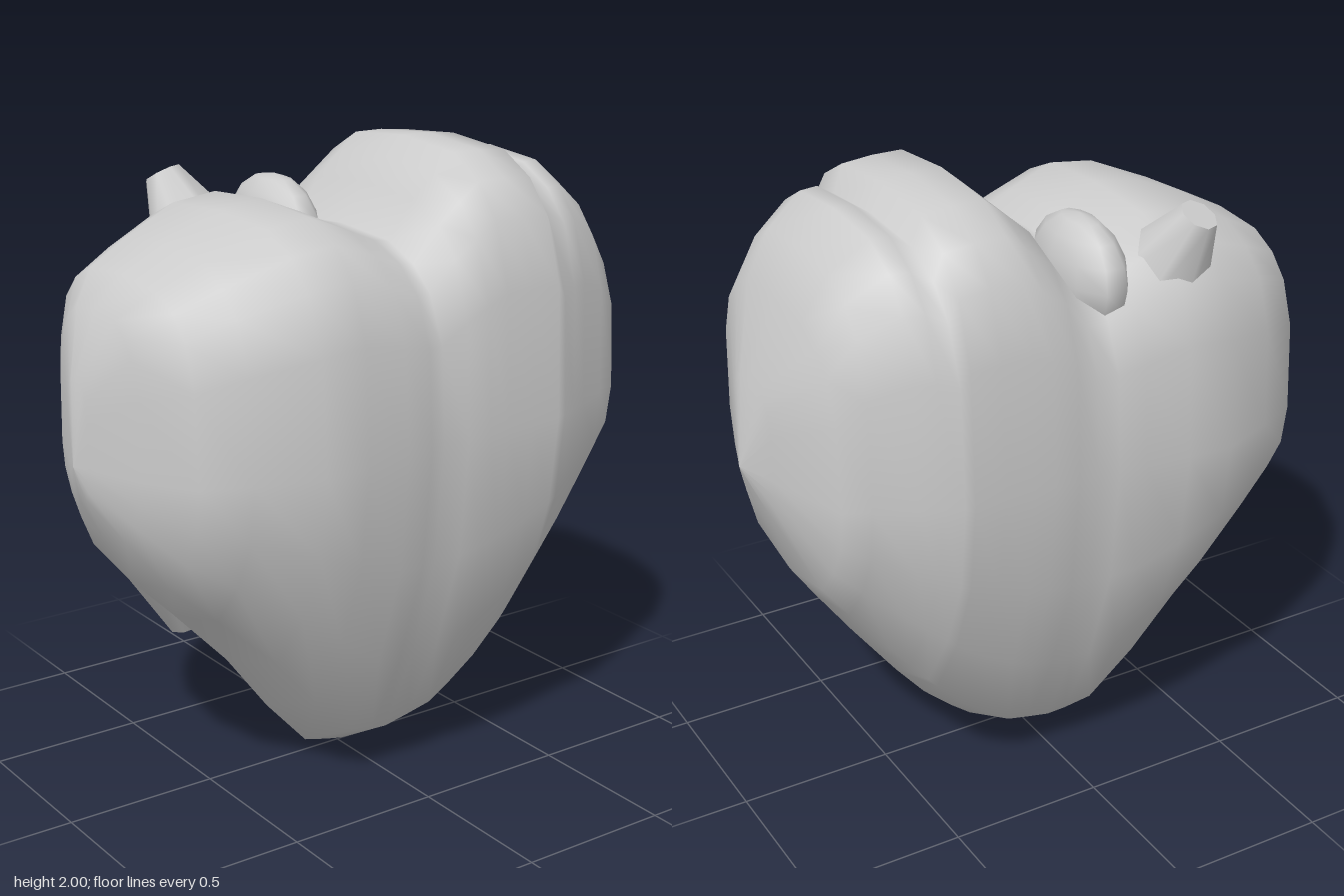
import * as THREE from 'three';

const material = new THREE.MeshStandardMaterial({ color: 0xcccccc, side: THREE.DoubleSide });

// Stations across the heart: [x, bottom y, top y, half depth]
const STATIONS = [
  [-0.94, 1.14, 1.14, 0], [-0.92, 1.03, 1.41, 0.06], [-0.85, 0.9, 1.6, 0.24],
  [-0.76, 0.74, 1.69, 0.41], [-0.62, 0.6, 1.76, 0.48], [-0.43, 0.4, 1.84, 0.563],
  [-0.28, 0.2, 1.86, 0.56], [-0.13, 0.035, 1.8, 0.55], [-0.04, 0.012, 1.76, 0.543],
  [0.02, 0, 1.75, 0.525], [0.1, 0.03, 1.87, 0.543], [0.18, 0.055, 1.94, 0.543],
  [0.25, 0.11, 2, 0.545], [0.35, 0.2, 2, 0.545], [0.45, 0.32, 1.99, 0.545],
  [0.48, 0.36, 1.9, 0.54], [0.54, 0.44, 1.94, 0.515], [0.6, 0.52, 1.94, 0.49],
  [0.72, 0.69, 1.85, 0.435], [0.8, 0.81, 1.71, 0.4], [0.89, 1.05, 1.47, 0.14],
  [0.94, 1.2, 1.2, 0],
];

// Side profile, bottom to top: [height, depth fraction];
// height runs from -1 at the bottom through 0 at the widest level to 1 at the top
const PROFILE = [
  [-1, 0], [-0.88, 0.46], [-0.62, 0.73], [-0.33, 0.93], [0, 1],
  [0.51, 0.965], [0.76, 0.85], [0.89, 0.69], [0.975, 0.46], [1, 0],
];

function bodyGeometry() {
  // Closed loop: up the front, down the back
  const back = PROFILE.slice(1, -1).reverse().map(([h, d]) => [h, -d]);
  const loop = [...PROFILE, ...back];
  const n = loop.length, positions = [], index = [];
  for (const [x, low, high, depth] of STATIONS) {
    const widest = 1.17 + 0.032 * x;
    // Outer flanks are fuller below
    const fullness = 1 - 0.3 * Math.min(1, Math.abs(x) / 0.8);
    for (const [h, d] of loop) {
      const y = h < 0 ? widest + h * (widest - low) : widest + h * (high - widest);
      const power = h < 0 ? fullness : 1;
      positions.push(x, y, Math.sign(d) * Math.abs(d) ** power * depth);
    }
  }
  for (let i = 0; i < STATIONS.length - 1; i++) {
    for (let j = 0; j < n; j++) {
      const a = i * n + j, b = i * n + (j + 1) % n;
      index.push(a, a + n, b, b, a + n, b + n);
    }
  }
  const geometry = new THREE.BufferGeometry();
  geometry.setAttribute('position', new THREE.Float32BufferAttribute(positions, 3));
  geometry.setIndex(index);
  geometry.computeVertexNormals();
  return geometry;
}

function addMesh(group, name, geometry) {
  const mesh = new THREE.Mesh(geometry, material);
  mesh.name = name;
  group.add(mesh);
  return mesh;
}

// Tapered stump running from one point to another
function addStump(group, name, from, to, baseRadius, tipRadius, depthScale = 1) {
  const a = new THREE.Vector3(...from), b = new THREE.Vector3(...to);
  const axis = b.clone().sub(a);
  const mesh = addMesh(group, name,
    new THREE.CylinderGeometry(tipRadius, baseRadius, axis.length(), 8));
  mesh.position.copy(a).add(b).multiplyScalar(0.5);
  mesh.quaternion.setFromUnitVectors(new THREE.Vector3(0, 1, 0), axis.normalize());
  mesh.scale.z = depthScale;
}

export function createModel() {
  const group = new THREE.Group();
  group.name = 'heart';
  addMesh(group, 'heartBody', bodyGeometry());

  // Vessel stump leaning to the back of the right lobe
  addStump(group, 'backVessel', [-0.29, 1.6, -0.29], [-0.36, 1.88, -0.44], 0.19, 0.06);

  // Low vessel ridge beside the cleft
  const ridge = addMesh(group, 'cleftVessel', new THREE.SphereGeometry(1, 10, 8));
  ridge.position.set(-0.07, 1.7, -0.25);
  ridge.scale.set(0.11, 0.18, 0.22);

  // Small wedge on the lower right flank
  addStump(group, 'lowerSpur', [-0.62, 0.8, -0.08], [-0.5, 0.49, -0.14], 0.12, 0.04, 1.3);
  return group;
}
